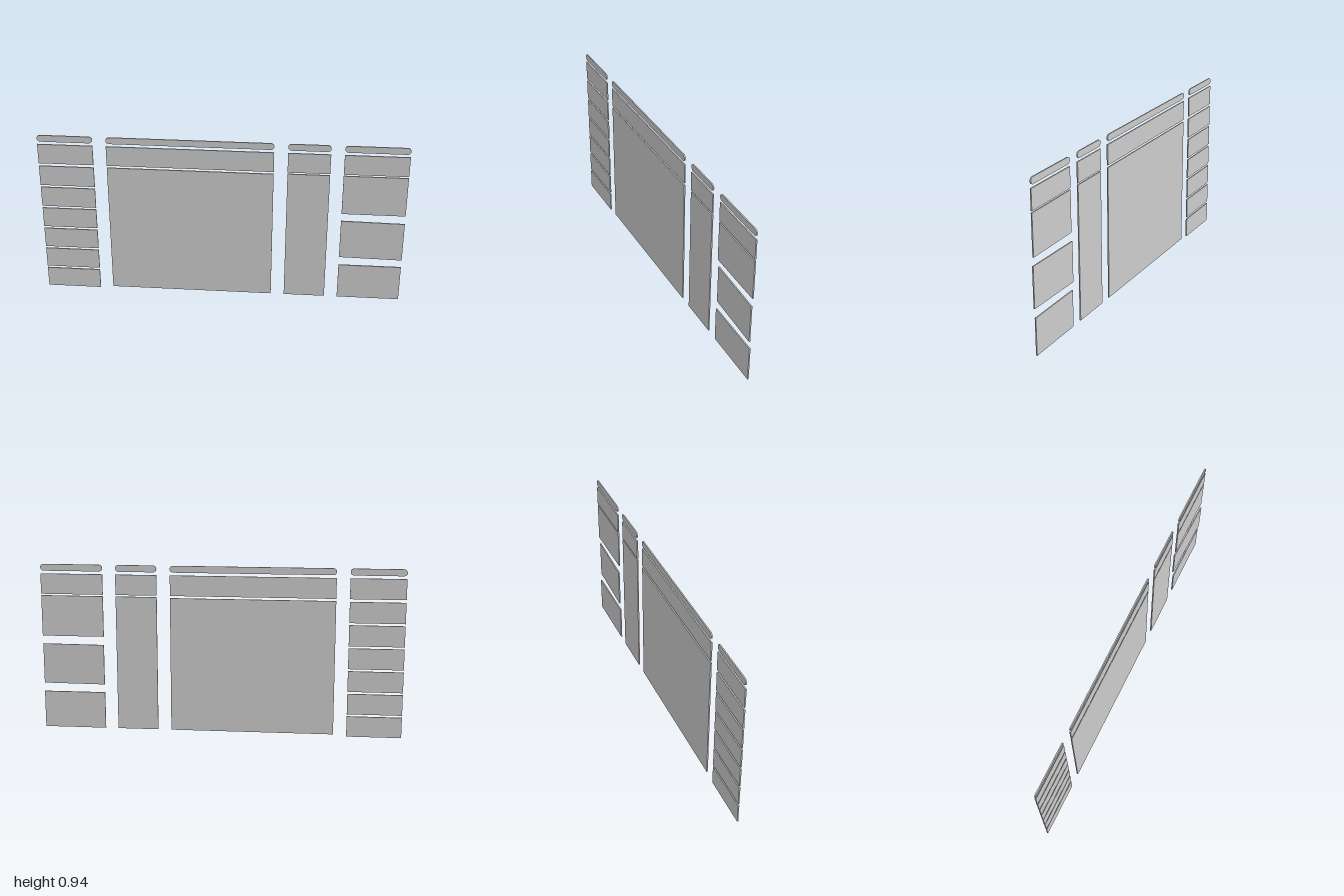
import * as THREE from 'three';

const DEPTH = 0.007;

export function createModel() {
  const model = new THREE.Group();
  const material = new THREE.MeshStandardMaterial({ color: 0xcccccc });

  function add(parent, name, geometry, x, y) {
    const mesh = new THREE.Mesh(geometry, material);
    mesh.name = name;
    mesh.position.set(x, y, 0);
    parent.add(mesh);
    return mesh;
  }

  // Flat rectangular panel given by its edges
  function panel(parent, name, x0, x1, y0, y1) {
    const geometry = new THREE.BoxGeometry(x1 - x0, y1 - y0, DEPTH);
    return add(parent, name, geometry, (x0 + x1) / 2, (y0 + y1) / 2);
  }

  // Flat bar with half-round ends
  function roundedBar(parent, name, x0, x1, y0, y1) {
    const r = (y1 - y0) / 2, h = (x1 - x0) / 2 - r;
    const shape = new THREE.Shape();
    shape.absarc(h, 0, r, -Math.PI / 2, Math.PI / 2);
    shape.absarc(-h, 0, r, Math.PI / 2, Math.PI * 1.5);
    const geometry = new THREE.ExtrudeGeometry(shape, { depth: DEPTH, bevelEnabled: false, curveSegments: 12 });
    geometry.translate(0, 0, -DEPTH / 2);
    add(parent, name, geometry, (x0 + x1) / 2, (y0 + y1) / 2);
  }

  // Four columns: x edges and the [bottom, top] of the panels under the header
  const rows = [];
  for (let i = 1; i < 7; i++) rows.push([0.772 - i * 0.1287, 0.888 - i * 0.1287]);
  const columns = [
    { name: 'listColumn', x: [-1, -0.698], panels: rows },
    { name: 'mainColumn', x: [-0.625, 0.281], panels: [[0.01, 0.762]] },
    { name: 'narrowColumn', x: [0.355, 0.583], panels: [[0.01, 0.766]] },
    { name: 'cardColumn', x: [0.655, 1], panels: [[0.538, 0.766], [0.265, 0.491], [0.01, 0.217]] },
  ];

  for (const { name, x: [x0, x1], panels } of columns) {
    const column = new THREE.Group();
    column.name = name;
    roundedBar(column, 'topBar', x0, x1, 0.904, 0.941);
    panel(column, 'header', x0, x1, 0.775, 0.888);
    panels.forEach(([y0, y1], i) => {
      const mesh = panel(column, 'panel' + (i + 1), x0, x1, y0, y1);
      // The middle card is turned slightly
      if (name === 'cardColumn' && i === 1) mesh.rotation.y = -0.026;
    });
    model.add(column);
  }
  return model;
}
